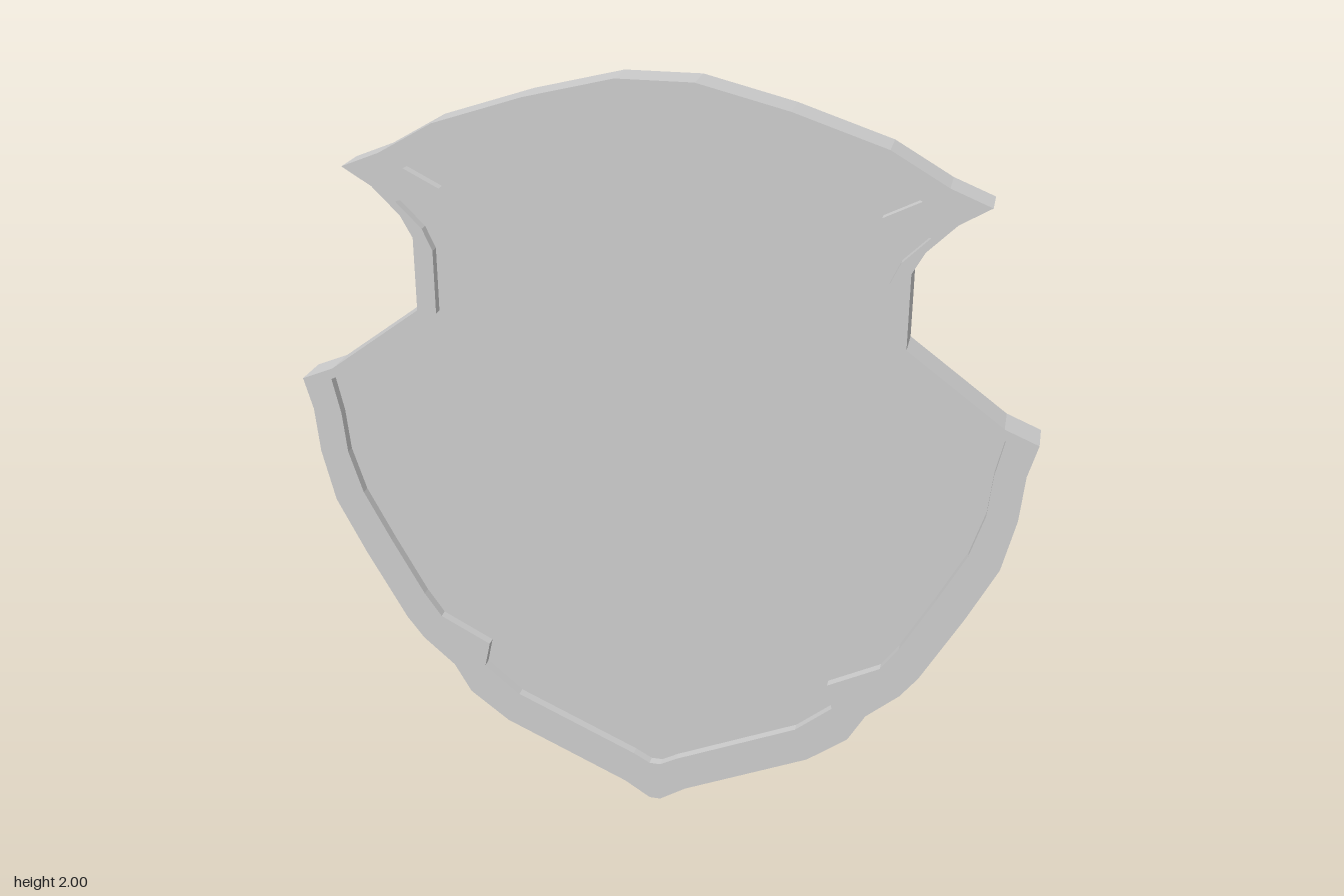
import * as THREE from 'three';

const BACK = -0.05, FRONT = 0.05, PANEL = 0.025;

// Half outlines on the +x side, from top to bottom tip
const OUTER = [
  [0.095, 2], [0.32, 1.945], [0.55, 1.87], [0.69, 1.79], [0.79, 1.75], [0.715, 1.705],
  [0.645, 1.635], [0.615, 1.58], [0.615, 1.39], [0.86, 1.21], [0.945, 1.175], [0.922, 1.09],
  [0.912, 0.97], [0.88, 0.83], [0.805, 0.68], [0.7, 0.49], [0.655, 0.43], [0.57, 0.355],
  [0.525, 0.275], [0.42, 0.195], [0.085, 0.045], [0.015, 0],
];
const INNER = [
  [0.09, 1.945], [0.3, 1.885], [0.5, 1.825], [0.63, 1.755], [0.54, 1.71], [0.655, 1.67],
  [0.59, 1.605], [0.565, 1.55], [0.565, 1.385], [0.78, 1.22], [0.865, 1.18], [0.845, 1.085],
  [0.835, 0.975], [0.8, 0.86], [0.73, 0.725], [0.645, 0.57], [0.6, 0.505], [0.465, 0.435],
  [0.48, 0.365], [0.385, 0.285], [0.06, 0.14], [0.015, 0.115],
];

// Mirror a half outline into a closed loop
function mirrored(half) {
  const right = half.map(([x, y]) => new THREE.Vector2(x, y));
  const left = half.map(([x, y]) => new THREE.Vector2(-x, y)).reverse();
  return [...right, ...left];
}

// Straight wall along a loop; a clockwise loop faces outward
function wall(loop, z0, z1) {
  const pos = [];
  loop.forEach((a, i) => {
    const b = loop[(i + 1) % loop.length];
    pos.push(a.x, a.y, z1, b.x, b.y, z1, b.x, b.y, z0);
    pos.push(a.x, a.y, z1, b.x, b.y, z0, a.x, a.y, z0);
  });
  const geo = new THREE.BufferGeometry();
  geo.setAttribute('position', new THREE.Float32BufferAttribute(pos, 3));
  geo.computeVertexNormals();
  return geo;
}

export function createModel() {
  const group = new THREE.Group();
  group.name = 'shield';
  const material = new THREE.MeshStandardMaterial({ color: 0xcccccc, flatShading: true });
  const add = (name, geometry) => {
    const mesh = new THREE.Mesh(geometry, material);
    mesh.name = name;
    group.add(mesh);
    return mesh;
  };

  const outer = mirrored(OUTER), inner = mirrored(INNER);

  // Raised rim on the front
  const rim = new THREE.Shape(outer);
  rim.holes.push(new THREE.Path(inner));
  add('rimFace', new THREE.ShapeGeometry(rim).translate(0, 0, FRONT));
  add('rimInnerWall', wall([...inner].reverse(), PANEL, FRONT));

  // Recessed front panel
  add('frontPanel', new THREE.ShapeGeometry(new THREE.Shape(inner)).translate(0, 0, PANEL));

  // Outer edge and flat back
  add('outerEdge', wall(outer, BACK, FRONT));
  add('backFace', new THREE.ShapeGeometry(new THREE.Shape(outer)).rotateY(Math.PI).translate(0, 0, BACK));

  return group;
}
